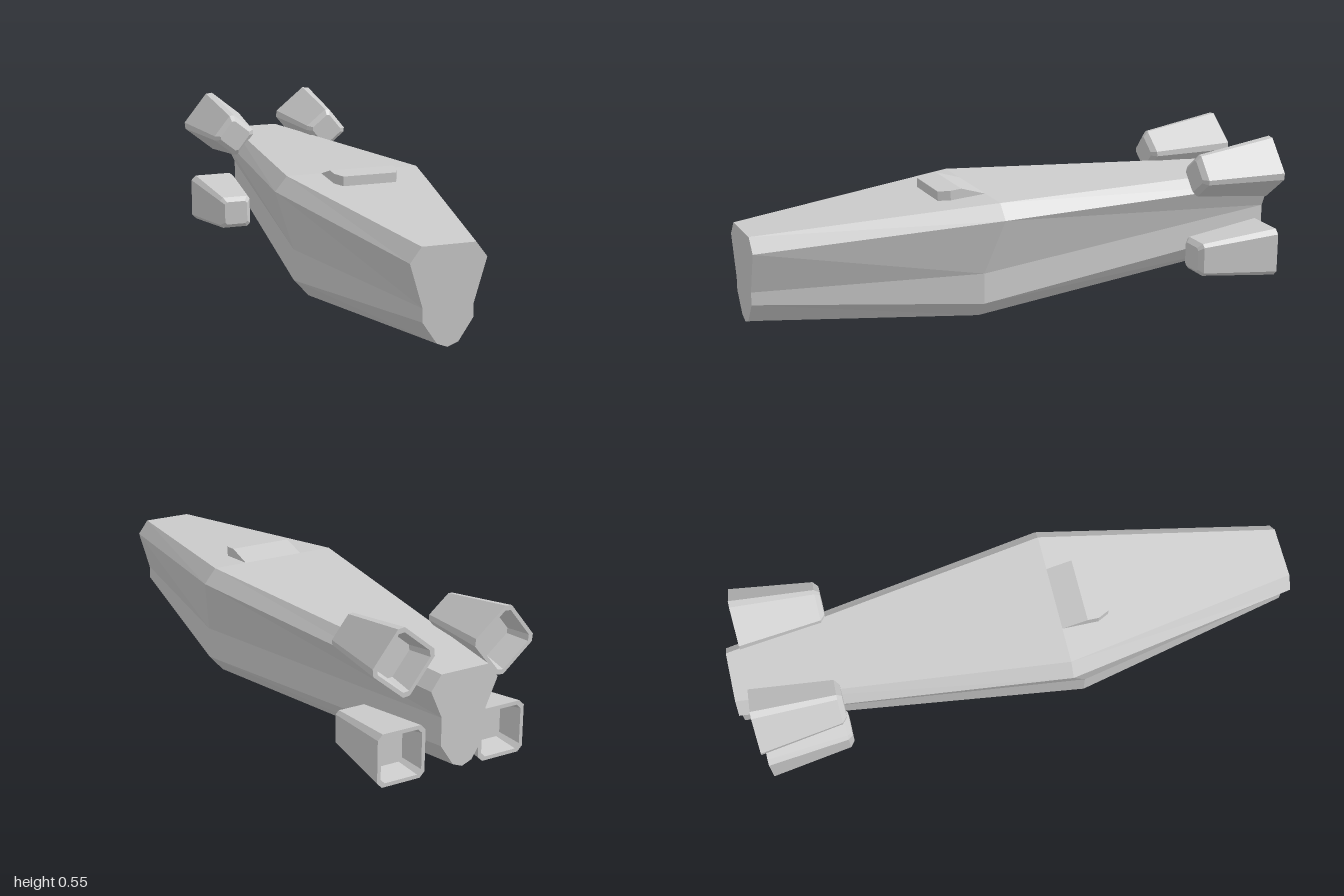
import * as THREE from 'three';

const material = new THREE.MeshStandardMaterial({ color: 0xcccccc, flatShading: true });

// Skins a row of rings (front to back, counter-clockwise seen from +z) and caps both ends.
function loft(name, rings) {
  const pos = [];
  const tri = (...pts) => pts.forEach(p => pos.push(...p));
  const centre = ring => [0, 1, 2].map(k => ring.reduce((sum, p) => sum + p[k], 0) / ring.length);
  const first = rings[0], last = rings[rings.length - 1];
  const n = first.length, c0 = centre(first), c1 = centre(last);
  for (let i = 0; i < n; i++) {
    const j = (i + 1) % n;
    for (let r = 0; r < rings.length - 1; r++) {
      const a = rings[r], b = rings[r + 1];
      tri(a[i], b[i], a[j]);
      tri(a[j], b[i], b[j]);
    }
    tri(c0, first[i], first[j]);
    tri(c1, last[j], last[i]);
  }
  const geometry = new THREE.BufferGeometry();
  geometry.setAttribute('position', new THREE.Float32BufferAttribute(pos, 3));
  geometry.computeVertexNormals();
  const mesh = new THREE.Mesh(geometry, material);
  mesh.name = name;
  return mesh;
}

// Half section from keel to deck, mirrored into a closed ring.
function hullRing(half) {
  const mirrored = half.slice(1).reverse().map(([x, y, z]) => [-x, y, z]);
  return [...half, ...mirrored];
}

function makeHull() {
  const endRing = (z, waist) => hullRing([
    [0, 0.068, z], [0.036, 0.082, z], [0.085, 0.155, z],
    [0.085, waist, z], [0.128, 0.345, z], [0.09, 0.395, z],
  ]);
  const middle = hullRing([
    [0, 0.002, 0.22], [0.183, 0.03, 0.22], [0.237, 0.09, 0.22],
    [0.237, 0.2, 0.22], [0.283, 0.394, 0.16], [0.24, 0.446, 0.16],
  ]);
  return loft('hull', [endRing(1, 0.2), middle, endRing(-1, 0.25)]);
}

// Low raised bridge on the deck: bevelled front corners, sloping back.
function makeBridge() {
  const ring = (w, top, z) => [[-w, 0.415, z], [w, 0.415, z], [w, top, z], [-w, top, z]];
  return loft('bridge', [
    ring(0.095, 0.469, 0.33), ring(0.115, 0.472, 0.29),
    ring(0.115, 0.475, 0.25), ring(0.115, 0.446, 0.16),
  ]);
}

// Square engine with cut corners, widening aft into a hollow nozzle.
function makeEngine(name) {
  const ring = (h, z, shift = 0) => {
    const k = h * 0.8;
    return [[h, -k], [h, k], [k, h], [-k, h], [-h, k], [-h, -k], [-k, -h], [k, -h]]
      .map(([x, y]) => [x + shift, y, z]);
  };
  return loft(name, [
    ring(0.045, -0.635, -0.006), ring(0.061, -0.652, -0.006),
    ring(0.09, -0.945), ring(0.077, -0.945), ring(0.062, -0.86),
  ]);
}

export function createModel() {
  const group = new THREE.Group();
  group.name = 'spacecraft';
  group.add(makeHull(), makeBridge());

  // Upper pair is turned outward, lower pair sits square
  for (const [label, x, y, angle] of [['upper', 0.193, 0.436, 0.68], ['lower', 0.195, 0.125, 0]]) {
    for (const side of [1, -1]) {
      const engine = makeEngine(`${label}${side > 0 ? 'Left' : 'Right'}Engine`);
      engine.position.set(side * x, y, 0);
      engine.rotation.z = side > 0 ? angle : Math.PI - angle;
      group.add(engine);
    }
  }
  return group;
}
